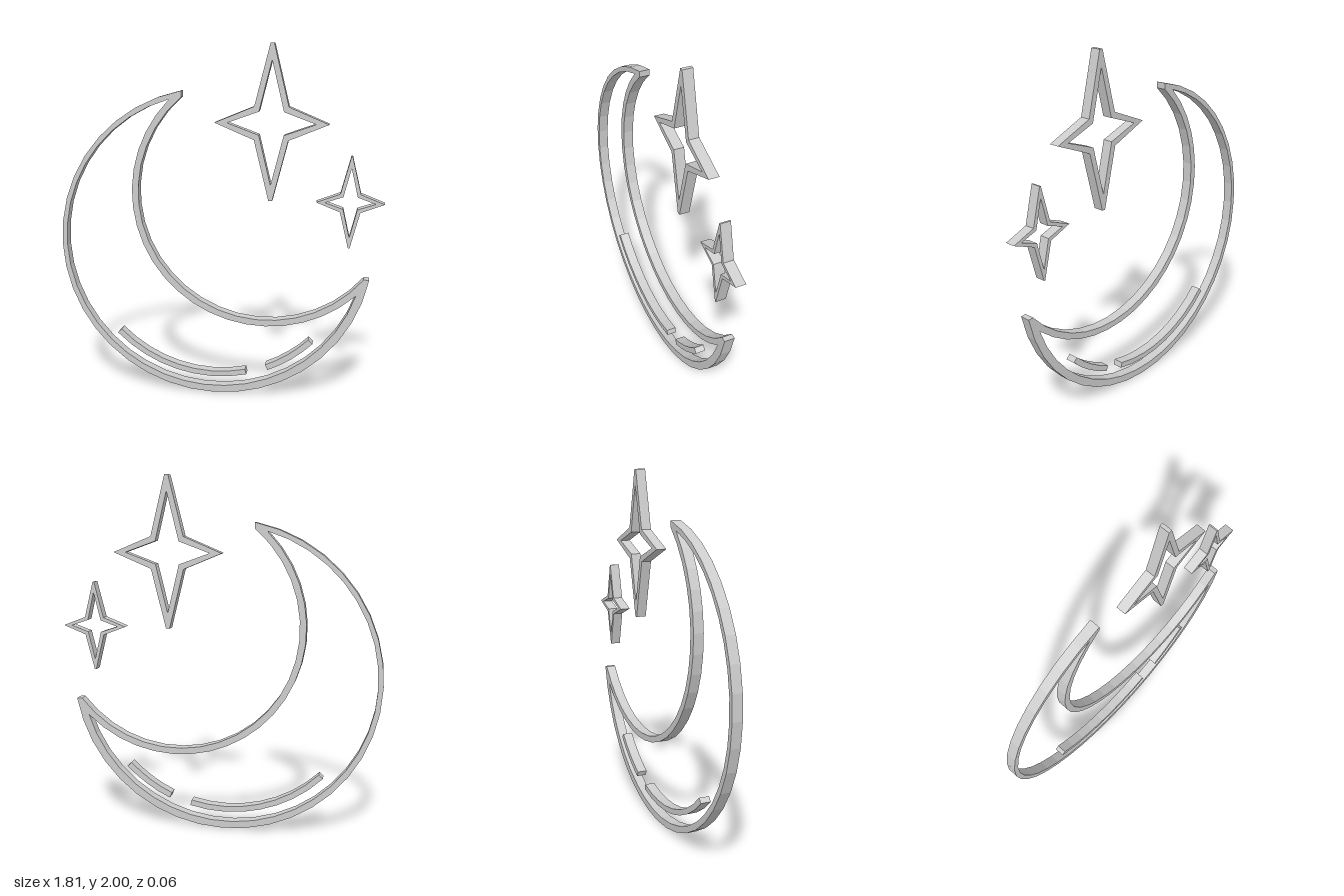
import * as THREE from 'three';

const DEPTH = 0.057;
const material = new THREE.MeshStandardMaterial({ color: 0xcccccc, flatShading: true });

// Points along a circular arc, angles in degrees
function arc(cx, cy, r, from, to, segments) {
  const points = [];
  for (let i = 0; i <= segments; i++) {
    const a = THREE.MathUtils.degToRad(from + (to - from) * i / segments);
    points.push(new THREE.Vector2(cx + r * Math.cos(a), cy + r * Math.sin(a)));
  }
  return points;
}

// Flat plate of constant depth, centred on z = 0, with an optional opening
function plate(name, outline, hole) {
  const shape = new THREE.Shape(outline);
  if (hole) shape.holes.push(new THREE.Path(hole));
  const geometry = new THREE.ExtrudeGeometry(shape, { depth: DEPTH, bevelEnabled: false });
  geometry.translate(0, 0, -DEPTH / 2);
  const mesh = new THREE.Mesh(geometry, material);
  mesh.name = name;
  return mesh;
}

// Crescent between a large disc and a smaller disc cut from it
function crescent(big, small, segments) {
  const [ax, ay, ar, a0, a1] = big, [bx, by, br, b0, b1] = small;
  return [...arc(ax, ay, ar, a0, a1, segments), ...arc(bx, by, br, b0, b1, Math.round(segments * 0.75))];
}

// Four-pointed star; tip is the half width of the blunt upper and lower points
function star(cx, cy, rx, ry, ix, iy, tip) {
  return [
    [rx, 0], [ix, iy], [tip, ry], [-tip, ry], [-ix, iy],
    [-rx, 0], [-ix, -iy], [-tip, -ry], [tip, -ry], [ix, -iy],
  ].map(([x, y]) => new THREE.Vector2(cx + x, cy + y));
}

// Curved bar with clipped end corners
function curvedBar(cx, cy, r, width, from, to, segments) {
  const h = width / 2, clip = 0.6;
  return [
    ...arc(cx, cy, r + h, from + clip, to - clip, segments),
    ...arc(cx, cy, r + h * 0.45, to, to, 0).filter(p => !isNaN(p.x)),
    ...arc(cx, cy, r - h, to - clip, from + clip, segments),
  ];
}

// Angle in degrees from a centre to a point
const angle = (cx, cy, x, y) => THREE.MathUtils.radToDeg(Math.atan2(y - cy, x - cx));

export function createModel() {
  const group = new THREE.Group();
  group.name = 'moonAndStars';

  // Moon frame: blunt horn tips outside, sharp ones on the opening
  const O = [-0.026, 0.881], H = [-0.034, 0.886], C = [0.257, 1.17];
  const outer = crescent(
    [...O, 0.882, angle(...O, -0.2, 1.745), 360 + angle(...O, 0.83, 0.73)],
    [...C, 0.709, angle(...C, 0.812, 0.73), angle(...C, -0.2, 1.71) - 360], 28);
  const inner = crescent(
    [...H, 0.846, angle(...H, -0.265, 1.697), 360 + angle(...H, 0.775, 0.637)],
    [...C, 0.745, angle(...C, 0.77, 0.63), angle(...C, -0.267, 1.692) - 360], 28);
  group.add(plate('moonFrame', outer, inner));

  // Stars
  group.add(plate('largeStar',
    star(0.29, 1.577, 0.309, 0.423, 0.093, 0.09, 0.01),
    star(0.29, 1.577, 0.24, 0.332, 0.067, 0.063, 0.001)));
  group.add(plate('smallStar',
    star(0.724, 1.156, 0.183, 0.252, 0.055, 0.05, 0.004),
    star(0.724, 1.156, 0.136, 0.188, 0.038, 0.034, 0.001)));

  // Highlight bars following the lower rim of the moon
  group.add(plate('longHighlight', curvedBar(-0.03, 0.89, 0.776, 0.032, 224, 285, 8)));
  group.add(plate('shortHighlight', curvedBar(-0.03, 0.89, 0.781, 0.034, 293, 316.5, 4)));

  return group;
}
